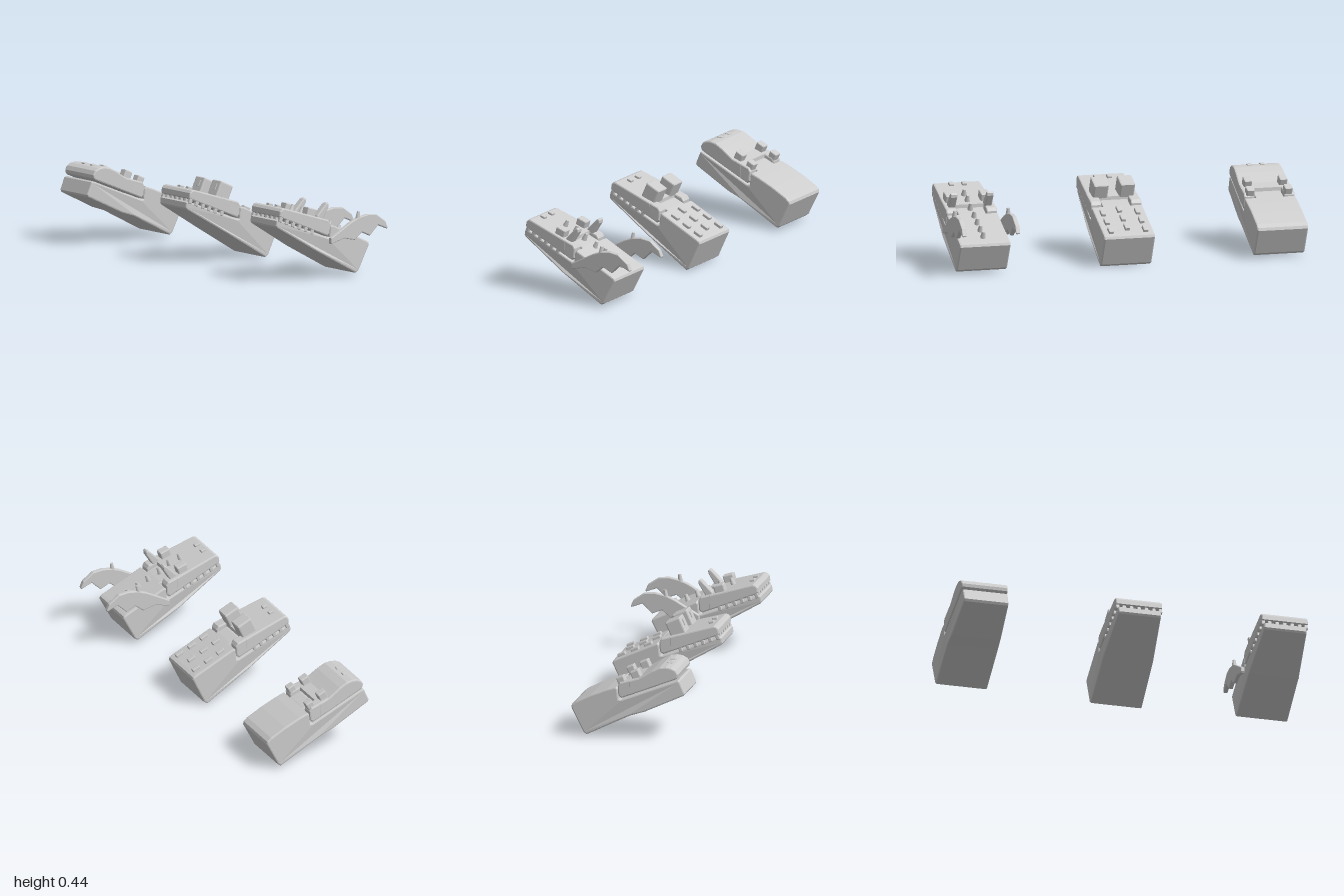
import * as THREE from 'three';

const grey = new THREE.MeshStandardMaterial({ color: 0xcccccc });
grey.name = 'light grey';

const HALF = 0.145; // half width of every head at the back
const KNEE = 0.05;  // heads narrow forward of this z

// Half width at z when the nose (z = 0.35) has half width "front"
const halfAt = (z, front) => HALF + (front - HALF) * Math.max(0, (z - KNEE) / (0.35 - KNEE));

function add(parent, name, geometry, x = 0, y = 0, z = 0, tilt = 0) {
  const mesh = new THREE.Mesh(geometry, grey);
  mesh.name = name;
  mesh.position.set(x, y, z);
  mesh.rotation.x = tilt;
  parent.add(mesh);
  return mesh;
}

// Side profile of [z, y] points, extruded from x0 to x1 with bevelled edges
function slab(points, x0, x1, bevel = 0.008, front = HALF) {
  const shape = new THREE.Shape(points.map(([z, y]) => new THREE.Vector2(z, y)));
  const g = new THREE.ExtrudeGeometry(shape, {
    depth: x1 - x0 - 2 * bevel, bevelThickness: bevel, bevelSize: bevel,
    bevelOffset: -bevel, bevelSegments: 2, steps: 1,
  });
  g.rotateY(-Math.PI / 2);
  g.translate(x1 - bevel, 0, 0);
  const p = g.attributes.position;
  for (let i = 0; i < p.count; i++) p.setX(i, p.getX(i) * halfAt(p.getZ(i), front) / HALF);
  g.computeVertexNormals();
  return g;
}

// Small block with chamfered edges, centred on the origin
function block(w, h, d, bevel = 0.006) {
  const a = d / 2, b = h / 2, c = bevel * 0.6;
  return slab([[-a + c, -b], [a - c, -b], [a, -b + c], [a, b - c],
    [a - c, b], [-a + c, b], [-a, b - c], [-a, -b + c]], -w / 2, w / 2, bevel);
}

const roofY = z => 0.3 + 0.46 * z;    // back of the head
const jawTopY = z => 0.32 + 0.31 * z; // top of a flat upper jaw
const lipY = z => 0.228 + 0.41 * z;   // lower edge of the upper jaw
const ROOF_TILT = -0.43, JAW_TILT = -0.3;

// Body with lower jaw, and the tongue of the back that sits in the jaw notch
function addBody(head, points, front) {
  add(head, 'body', slab(points, -HALF, HALF, 0.008, front));
  add(head, 'hingeTongue', slab([[-0.06, 0.2], [0.08, 0.25], [0.08, 0.322],
    [0.05, 0.318], [0, 0.299], [-0.06, 0.271]], -0.078, 0.078, 0.005));
}

// Upper jaw: front part plus a lobe either side of the notch
function addUpperJaw(head, top, front) {
  const jaw = [[0.06, lipY(0.06)], [0.325, lipY(0.325)], [0.336, 0.372], ...top, [0.06, jawTopY(0.06)]];
  add(head, 'upperJaw', slab(jaw, -HALF, HALF, 0.008, front));
  const lobe = [[0.022, lipY(0.02)], [0.12, lipY(0.12)], [0.12, jawTopY(0.12)],
    [0.012, jawTopY(0.012)], [0, 0.305], [0.004, 0.25]];
  add(head, 'jawLobeLeft', slab(lobe, 0.083, HALF, 0.008, front));
  add(head, 'jawLobeRight', slab(lobe, -HALF, -0.083, 0.008, front));
}

function addTeeth(head, front) {
  for (let i = 0; i < 6; i++) {
    const z = 0.325 - i * 0.041;
    for (const s of [1, -1])
      add(head, 'sideTooth', block(0.02, 0.03, 0.021, 0.004), s * (halfAt(z, front) - 0.011), lipY(z) - 0.008, z, -0.35);
  }
  for (let i = -2; i <= 2; i++)
    add(head, 'frontTooth', block(0.021, 0.03, 0.016, 0.004), i * 0.042, lipY(0.325) - 0.008, 0.327, -0.35);
}

function addNostrils(head, y, z, tilt) {
  for (const s of [1, -1]) add(head, 'nostril', block(0.027, 0.018, 0.03, 0.004), s * 0.037, y, z, tilt);
}

// Body profile shared by the two toothed heads; "sole" is the lowest y
const longBody = sole => [[-0.172, sole], [-0.192, sole + 0.012], [-0.264, 0.164], [-0.26, 0.178],
  [-0.245, 0.187], [-0.012, 0.296], [0, 0.287], [0.006, 0.23], [0.02, 0.228],
  [0.335, 0.352], [0.347, 0.346], [0.352, 0.318], [0.345, 0.307], [0.09, 0.156]];
const flatJawTop = [[0.332, 0.398], [0.32, 0.411], [0.305, 0.4145]];

function makeSmoothHead() {
  const head = new THREE.Group();
  head.name = 'smoothHead';
  addBody(head, [[-0.175, 0.015], [-0.192, 0.027], [-0.262, 0.164], [-0.258, 0.18], [-0.235, 0.199],
    [-0.15, 0.243], [-0.06, 0.281], [-0.01, 0.298], [0, 0.287], [0.006, 0.23], [0.02, 0.228],
    [0.335, 0.356], [0.346, 0.35], [0.375, 0.283], [0.368, 0.27], [0.15, 0.166], [0.07, 0.14]], 0.127);
  addUpperJaw(head, [[0.338, 0.39], [0.325, 0.412], [0.3, 0.425], [0.27, 0.429],
    [0.235, 0.424], [0.19, 0.402], [0.15, 0.376], [0.12, jawTopY(0.12)]], 0.13);
  addNostrils(head, 0.425, 0.27, -0.05);
  for (const s of [1, -1]) {
    add(head, 'rearKnob', block(0.045, 0.055, 0.045), s * 0.108, 0.327, 0.018, ROOF_TILT);
    add(head, 'eye', block(0.045, 0.06, 0.05), s * 0.1, 0.362, 0.098, ROOF_TILT);
  }
  return head;
}

function makeScaledHead() {
  const head = new THREE.Group();
  head.name = 'scaledHead';
  addBody(head, longBody(0), 0.12);
  addUpperJaw(head, flatJawTop, 0.13);
  addTeeth(head, 0.13);
  addNostrils(head, jawTopY(0.27) + 0.004, 0.27, JAW_TILT);
  // Large block eyes with thin pupils
  for (const s of [1, -1]) {
    const eye = add(head, 'eye', block(0.085, 0.115, 0.09, 0.008), s * 0.075, 0.373, 0.09, ROOF_TILT);
    add(eye, 'pupil', new THREE.BoxGeometry(0.03, 0.035, 0.008), 0, 0.02, 0.046);
  }
  // Back scales in three columns
  for (let i = 0; i < 3; i++)
    for (const c of [-1, 0, 1]) {
      const z = (c ? -0.22 : -0.197) + i * 0.075;
      add(head, 'backScale', block(0.027, 0.026, 0.047, 0.004), c * 0.098, roofY(z) + 0.004, z, ROOF_TILT);
    }
  return head;
}

function makeWingedHead() {
  const head = new THREE.Group();
  head.name = 'wingedHead';
  addBody(head, longBody(0.015), 0.12);
  addUpperJaw(head, flatJawTop, 0.13);
  addTeeth(head, 0.13);
  addNostrils(head, jawTopY(0.28) + 0.004, 0.28, JAW_TILT);
  // Spikes along the centre line
  const spike = new THREE.CylinderGeometry(0.009, 0.017, 0.045, 6);
  for (const z of [-0.215, -0.16, -0.1, -0.04, 0.03, 0.09, 0.155])
    add(head, 'backSpike', spike, 0, (z > 0.05 ? jawTopY(z) : roofY(z)) + 0.016, z, -0.4);
  const horn = [[0.08, 0.335], [0.072, 0.352], [0.012, 0.412], [0, 0.416], [-0.006, 0.408],
    [-0.005, 0.392], [0.04, 0.32], [0.06, 0.315]];
  const wing = [[0.008, 0.193], [0.012, 0.202], [0.01, 0.226], [-0.13, 0.304], [-0.18, 0.324],
    [-0.24, 0.335], [-0.3, 0.329], [-0.36, 0.287], [-0.375, 0.252], [-0.372, 0.244],
    [-0.31, 0.269], [-0.255, 0.216], [-0.2, 0.24], [-0.152, 0.201], [-0.08, 0.216]];
  for (const s of [1, -1]) {
    add(head, 'eye', block(0.05, 0.062, 0.06), s * 0.1, 0.365, 0.115, JAW_TILT);
    add(head, 'horn', slab(horn, -0.02, 0.02, 0.006), s * 0.103);
    add(head, 'wing', slab(wing, -0.0125, 0.0125, 0.005), s * 0.1525);
    add(head, 'wingSpike', new THREE.CylinderGeometry(0.009, 0.014, 0.04, 6), s * 0.1525, 0.335, -0.181, -0.15);
  }
  return head;
}

export function createModel() {
  const model = new THREE.Group();
  model.name = 'threeHeads';
  [[makeSmoothHead, -0.855], [makeScaledHead, 0.015], [makeWingedHead, 0.835]].forEach(([make, x]) => {
    const head = make();
    head.position.x = x;
    model.add(head);
  });
  return model;
}
